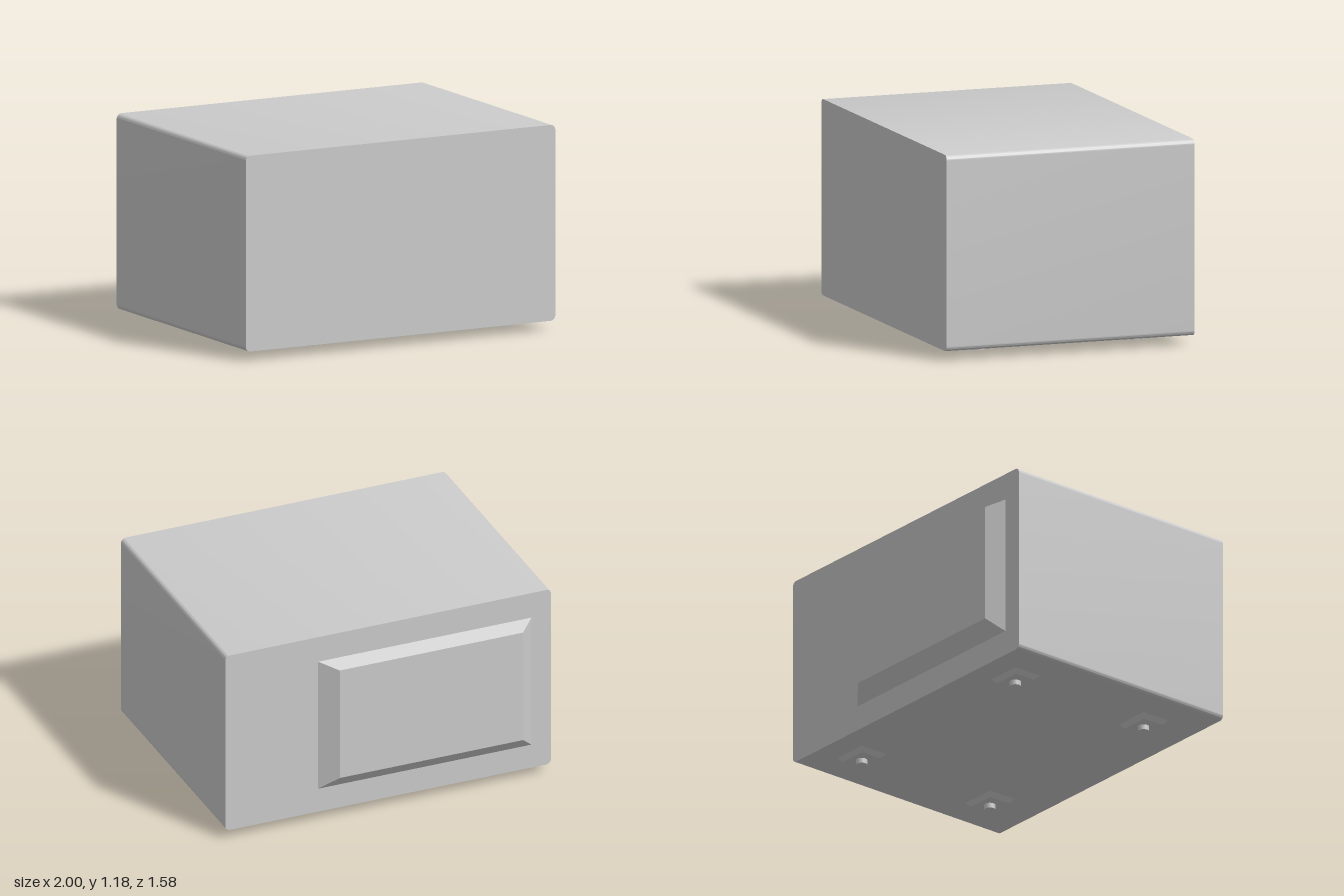
import * as THREE from 'three';
import { toCreasedNormals } from 'three/addons/utils/BufferGeometryUtils.js';

const material = new THREE.MeshStandardMaterial({ color: 0xcccccc });

function addMesh(parent, name, geometry) {
  const mesh = new THREE.Mesh(geometry, material);
  mesh.name = name;
  parent.add(mesh);
  return mesh;
}

// Box whose eight corners are placed by a rule taking each corner's signs.
function taperedBox(place) {
  const geometry = new THREE.BoxGeometry(2, 2, 2);
  const p = geometry.attributes.position;
  for (let i = 0; i < p.count; i++) {
    p.setXYZ(i, ...place(p.getX(i) > 0, p.getY(i) > 0, p.getZ(i) > 0));
  }
  geometry.computeVertexNormals();
  return geometry;
}

// Rounded rectangle centred on the origin.
function roundedRect(w, h, r) {
  const x = w / 2 - r, y = h / 2 - r;
  const shape = new THREE.Shape();
  shape.absarc(x, y, r, 0, Math.PI / 2);
  shape.absarc(-x, y, r, Math.PI / 2, Math.PI);
  shape.absarc(-x, -y, r, Math.PI, Math.PI * 1.5);
  shape.absarc(x, -y, r, Math.PI * 1.5, Math.PI * 2);
  shape.closePath();
  return shape;
}

export function createModel() {
  const model = new THREE.Group();
  model.name = 'cabinet';

  // Casing: rounded along its four long edges, sharp at front and back
  const casing = new THREE.ExtrudeGeometry(roundedRect(2, 1.125, 0.03), {
    depth: 1.497, bevelEnabled: false, curveSegments: 8,
  });
  addMesh(model, 'casing', toCreasedNormals(casing, 0.6)).position.set(0, 0.6175, -0.709);

  // Sloped cover on the back, offset to one side
  addMesh(model, 'backCover', taperedBox((right, top, base) => base
    ? [right ? 0.43 : -0.88, top ? 1.022 : 0.203, -0.709]
    : [right ? 0.33 : -0.795, top ? 0.983 : 0.29, -0.787]));

  // Four feet: tapered pad with a round pin
  for (const x of [-0.68, 0.68]) {
    for (const z of [-0.47, 0.47]) {
      const foot = new THREE.Group();
      foot.name = 'foot';
      foot.position.set(x, 0, z);
      addMesh(foot, 'footPad', taperedBox((right, top, front) => [
        (right ? 1 : -1) * (top ? 0.11 : 0.086),
        top ? 0.055 : 0.03,
        (front ? 1 : -1) * (top ? 0.091 : 0.066),
      ]));
      addMesh(foot, 'footPin', new THREE.CylinderGeometry(0.032, 0.032, 0.032, 24)).position.y = 0.016;
      model.add(foot);
    }
  }
  return model;
}
